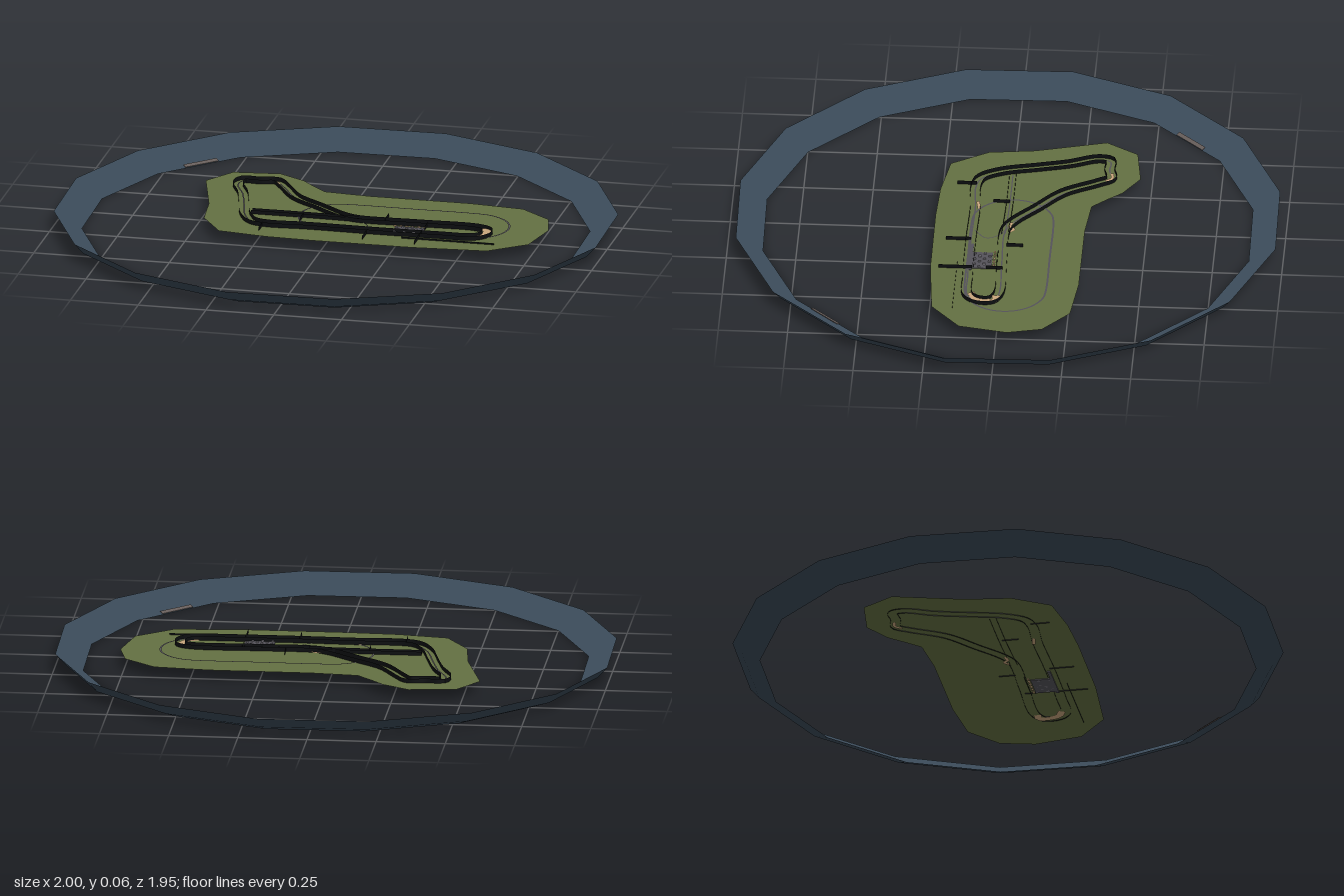
import * as THREE from 'three';

const GROUND = 0.042;
const mat = (name, color) => {
  const m = new THREE.MeshStandardMaterial({ color, side: THREE.DoubleSide });
  m.name = name;
  return m;
};

export function createModel() {
  const group = new THREE.Group();
  const slate = mat('slate horizon', 0x3c4c5b);
  const grass = mat('grass green', 0x647142);
  const black = mat('barrier black', 0x0c0e10);
  const asphalt = mat('asphalt grey', 0x55535a);
  const gravel = mat('gravel tan', 0xc9a67c);
  const concrete = mat('concrete grey', 0x85828a);
  const brown = mat('horizon brown', 0x665d5a);

  const add = (name, geometry, material) => {
    const mesh = new THREE.Mesh(geometry, material);
    mesh.name = name;
    group.add(mesh);
    return mesh;
  };
  // Box reaching slightly through the ground
  const box = (name, x, z, w, h, d, material) => {
    const mesh = add(name, new THREE.BoxGeometry(w, h + 0.004, d), material);
    mesh.position.set(x, GROUND + h / 2 - 0.002, z);
    return mesh;
  };

  // Smooth route through [x, z] points
  const route = (points, closed) => new THREE.CatmullRomCurve3(
    points.map(([x, z]) => new THREE.Vector3(x, 0, z)), closed, 'centripetal');

  // Strip swept along a route between two (side offset, height) corners
  const strip = (curve, n, a, b) => {
    const pos = [], index = [];
    for (let i = 0; i <= n; i++) {
      const p = curve.getPointAt(i / n), t = curve.getTangentAt(i / n);
      for (const [off, y] of [a, b]) pos.push(p.x + t.z * off, y, p.z - t.x * off);
      if (i < n) index.push(2 * i, 2 * i + 1, 2 * i + 2, 2 * i + 1, 2 * i + 3, 2 * i + 2);
    }
    const g = new THREE.BufferGeometry();
    g.setAttribute('position', new THREE.Float32BufferAttribute(pos, 3));
    g.setIndex(index);
    g.computeVertexNormals();
    return g;
  };
  const flat = (name, curve, n, width, y, material) =>
    add(name, strip(curve, n, [width / 2, y], [-width / 2, y]), material);
  const wall = (name, curve, n, off, height) =>
    add(name, strip(curve, n, [off, GROUND - 0.003], [off, GROUND + height]), black);

  // Sixteen-sided horizon ring, flaring outwards
  const profile = [[1, 0.065], [0.965, 0.025], [0.9, 0]].map(([r, y]) => new THREE.Vector2(r, y));
  const ring = new THREE.LatheGeometry(profile, 16, THREE.MathUtils.degToRad(12.2));
  ring.scale(1.016, 1, 0.99);
  const normals = ring.attributes.normal;
  for (let i = 0; i < normals.count; i++) normals.setXYZ(i, 0, 1, 0);
  add('horizonRing', ring, slate);

  // Brown patches lying on two opposite facets of the ring
  for (const s of [-1, 1]) {
    const m = add('horizonPatch', new THREE.BoxGeometry(0.14, 0.002, 0.016), brown);
    m.position.set(s * 0.641, 0.007, s * 0.621);
    m.rotation.set(-s * 0.37, 0.78, 0, 'YXZ');
  }

  // Grass field
  const outline = [[-0.48, -0.44], [-0.31, -0.46], [-0.21, -0.4], [-0.16, -0.345], [-0.11, -0.295],
    [0.06, -0.28], [0.43, -0.28], [0.63, -0.26], [0.745, -0.165], [0.775, -0.04], [0.74, 0.135],
    [0.61, 0.24], [0.34, 0.26], [-0.02, 0.262], [-0.2, 0.255], [-0.38, 0.228], [-0.465, 0.095],
    [-0.485, -0.07], [-0.555, -0.325]];
  const field = new THREE.ShapeGeometry(new THREE.Shape(outline.map(([x, z]) => new THREE.Vector2(x, -z))));
  field.rotateX(-Math.PI / 2).translate(0, GROUND, 0);
  add('grassField', field, grass);

  // Oval line around the eastern field
  const oval = [];
  for (let i = 0; i < 24; i++) {
    const a = i / 24 * Math.PI * 2, c = Math.cos(a);
    const side = i === 6 || i === 18 ? 0 : Math.sign(c) * 0.235;
    oval.push([0.247 + side + c * 0.15, -0.018 + Math.sin(a) * 0.147]);
  }
  flat('ovalLine', route(oval, true), 120, 0.007, GROUND + 0.002, asphalt);

  // Main circuit: barriers on both sides
  const circuit = route([[-0.42, -0.345], [-0.36, -0.345], [-0.3, -0.355], [-0.265, -0.31], [-0.19, -0.19],
    [-0.08, -0.1], [0.02, -0.02], [0.08, 0.005], [0.3, 0.005], [0.52, 0.005], [0.565, 0.03], [0.565, 0.08],
    [0.53, 0.115], [0.4, 0.122], [0.15, 0.125], [-0.08, 0.122], [-0.22, 0.128], [-0.28, 0.11],
    [-0.325, 0.04], [-0.36, -0.09], [-0.39, -0.2], [-0.43, -0.3]], true);
  for (const s of [-1, 1]) wall('circuitBarrier', circuit, 220, s * 0.018, 0.016);
  flat('circuitLine', circuit, 220, 0.005, GROUND + 0.002, asphalt);

  // Link straight from the western bend
  const link = route([[-0.31, 0], [-0.1, 0], [0.1, 0.005]], false);
  for (const s of [-1, 1]) wall('linkBarrier', link, 30, s * 0.012, 0.014);
  flat('linkLine', link, 30, 0.004, GROUND + 0.002, asphalt);

  // Inner return bend
  const bend = route([[0.02, -0.02], [0.11, 0.03], [0.13, 0.07], [0.08, 0.115]], false);
  flat('innerBend', bend, 30, 0.004, GROUND + 0.002, asphalt);

  // Thin cross fences over the straights
  for (const [x, z, len] of [[0.145, 0.17, 0.09], [0.34, 0.17, 0.12], [0.18, -0.035, 0.06],
    [-0.24, 0.16, 0.07], [0.34, 0.03, 0.06], [-0.12, 0.03, 0.06]]) {
    box('crossFence', x, z, 0.0004, 0.014, len, black);
  }
  box('outerFence', 0.45, 0.165, 0.34, 0.006, 0.0004, black);
  box('pitWall', 0.28, 0.022, 0.16, 0.008, 0.0004, black);

  // Paddock: paved yard and lane, building rows and tan sheds
  box('paddockYard', 0.285, 0.078, 0.11, 0.0025, 0.075, asphalt);
  box('pitLane', 0.26, 0.118, 0.18, 0.002, 0.012, asphalt);
  for (let i = 0; i < 6; i++) {
    for (let j = 0; j < 4; j++) {
      if ((i + j) % 2) box('paddockBuilding', 0.24 + i * 0.018, 0.05 + j * 0.018, 0.008, 0.007, 0.01, concrete);
    }
    box('paddockShed', 0.225 + i * 0.022, 0.033, 0.01, 0.003, 0.007, gravel);
  }

  // Gravel traps beside the bends, showing through the ground
  const traps = [
    [[0.525, 0.012], [0.56, 0.015], [0.562, 0.05], [0.548, 0.085], [0.51, 0.105]],
    [[0.02, -0.015], [0.05, -0.01], [0.065, -0.025], [0.085, -0.01]],
    [[-0.34, -0.355], [-0.305, -0.357], [-0.285, -0.335]],
    [[-0.12, 0.115], [-0.07, 0.107]],
  ];
  traps.forEach((points, i) => {
    for (const y of [GROUND - 0.003, GROUND + 0.003]) {
      flat('gravelTrap', route(points, false), 16, i ? 0.012 : 0.028, y, gravel);
    }
  });

  return group;
}
